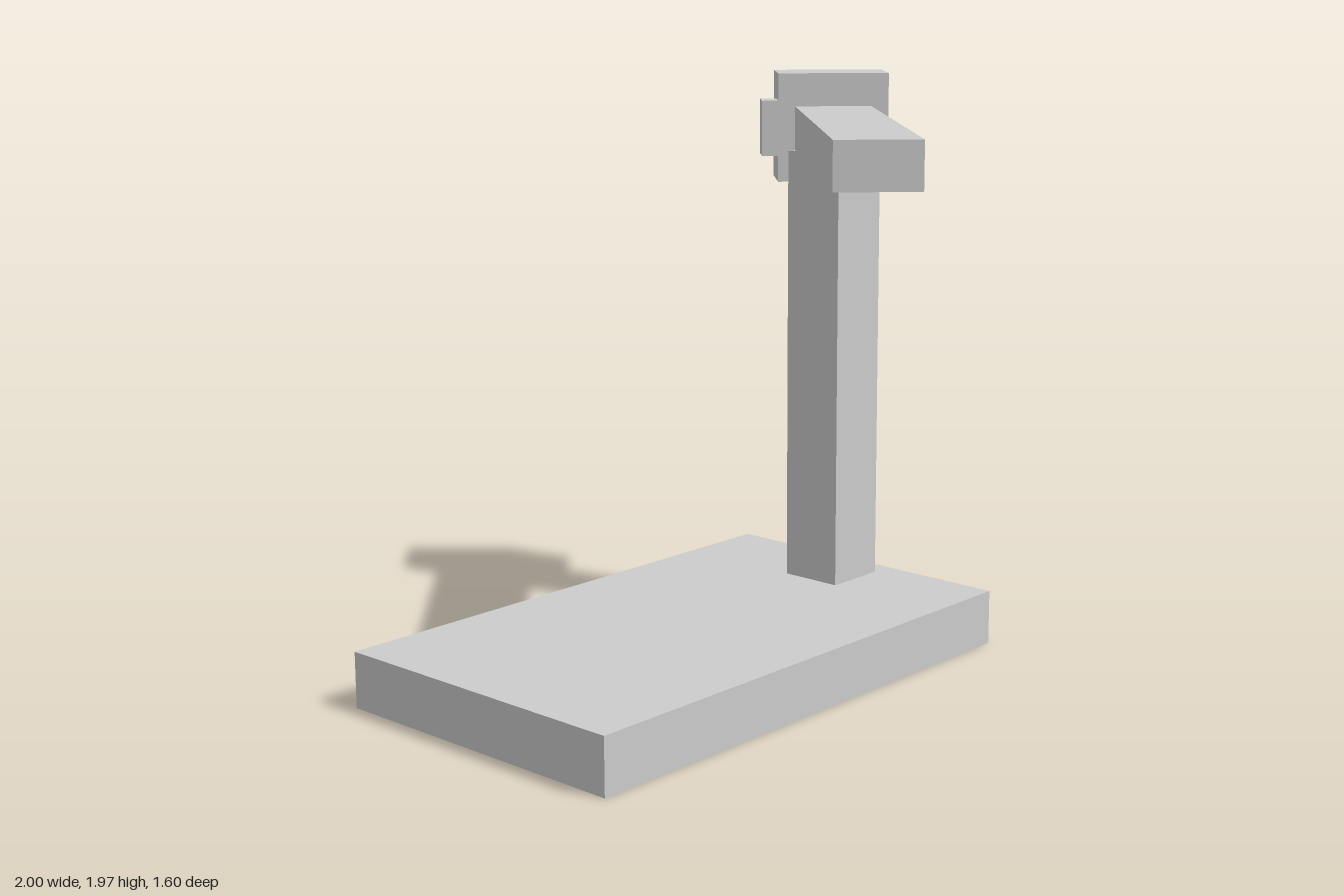
import * as THREE from 'three';

const grey = new THREE.MeshStandardMaterial({ color: 0xcccccc });
grey.name = 'light grey';

// Box given by its [min, max] range on each axis
function box(name, [x0, x1], [y0, y1], [z0, z1]) {
  const mesh = new THREE.Mesh(new THREE.BoxGeometry(x1 - x0, y1 - y0, z1 - z0), grey);
  mesh.position.set((x0 + x1) / 2, (y0 + y1) / 2, (z0 + z1) / 2);
  mesh.name = name;
  return mesh;
}

export function createModel() {
  const model = new THREE.Group();
  model.name = 'armStand';

  // Fixed slab and upright
  model.add(
    box('base', [-1, 0.893], [0, 0.19], [-0.8, 0.333]),
    box('post', [0.588, 0.814], [0.19, 1.71], [-0.34, -0.115])
  );

  // Swivelling top, turned 45 degrees; the arm runs along its local x
  const swivel = new THREE.Group();
  swivel.name = 'swivel';
  swivel.rotation.y = Math.PI / 4;
  swivel.add(
    box('arm', [-0.665, 0.7], [1.71, 1.86], [0.199, 0.463]),
    box('head', [0.668, 0.891], [1.6, 1.973], [0.141, 0.523]),
    box('sideKnob', [0.663, 0.777], [1.69, 1.88], [0.085, 0.25])
  );
  model.add(swivel);
  return model;
}
